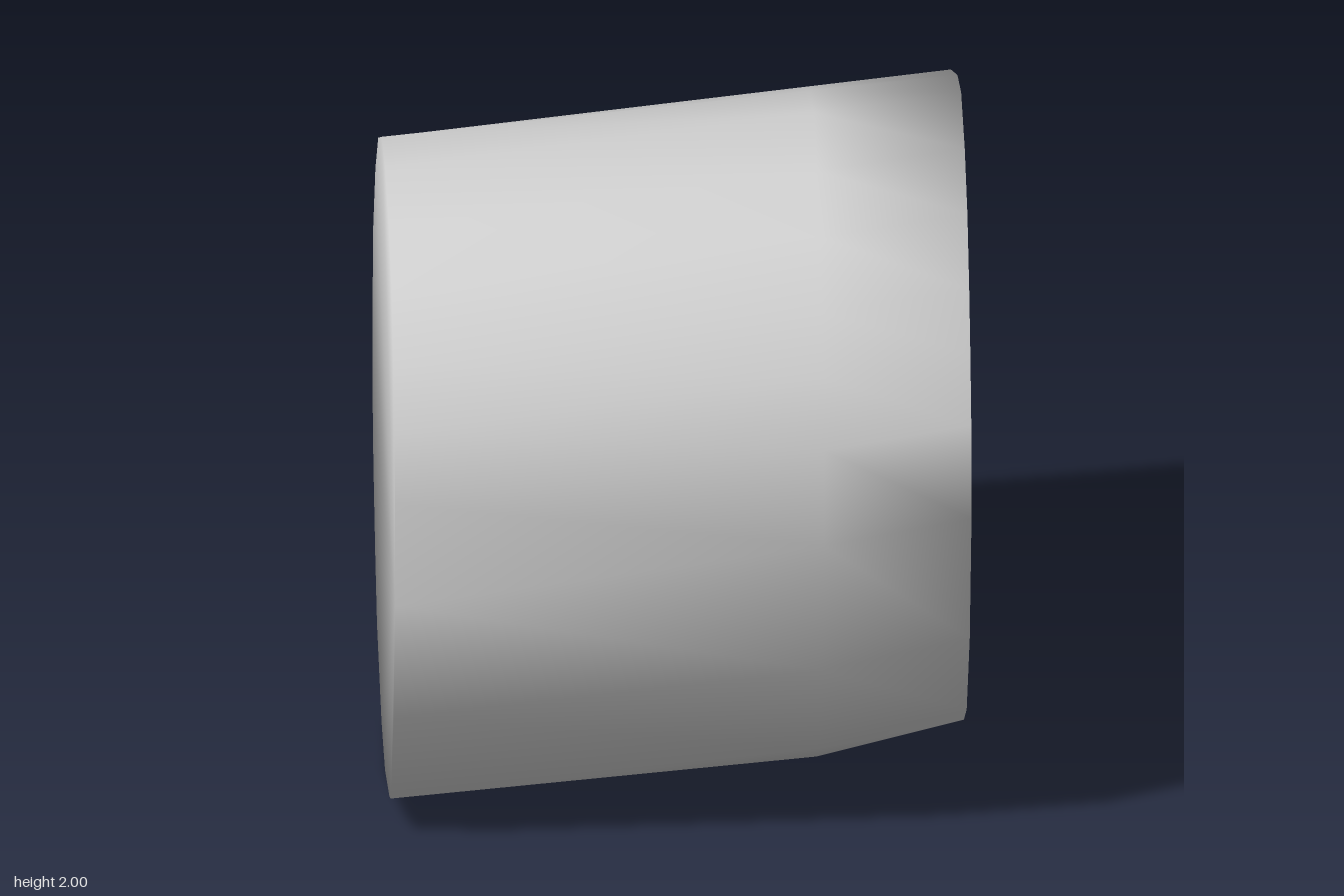
import * as THREE from 'three';

// Rim outlines as [z, y], from the front edge over the top, down the back and under
const leftRim = [
  [0.98, 1.1], [0.965, 1.37], [0.89, 1.55], [0.8, 1.7], [0.66, 1.86], [0.45, 1.96], [0.17, 2],
  [-0.12, 1.92], [-0.64, 1.7], [-0.83, 1.61], [-0.95, 1.37], [-1, 1.09], [-0.87, 0.78], [-0.78, 0.62],
  [-0.64, 0.45], [-0.43, 0.29], [-0.2, 0.2], [0.15, 0.19], [0.38, 0.23], [0.6, 0.36], [0.84, 0.68],
];
const rightRim = [
  [0.945, 0.85], [0.94, 1.15], [0.89, 1.34], [0.8, 1.5], [0.66, 1.66], [0.47, 1.76], [0.17, 1.8],
  [-0.1, 1.77], [-0.38, 1.64], [-0.6, 1.45], [-0.77, 1.2], [-0.83, 0.93], [-0.82, 0.66], [-0.76, 0.5],
  [-0.62, 0.3], [-0.48, 0.15], [-0.12, 0.02], [0.15, 0], [0.5, 0.08], [0.6, 0.12], [0.84, 0.47],
];
const HALF = 0.78;
const BULGE_X = 0.38;

// Section between the rims, swelling slightly at the front and underside
function middleSection() {
  const t = (HALF - BULGE_X) / (2 * HALF);
  return leftRim.map(([z, y], i) => {
    const mz = THREE.MathUtils.lerp(z, rightRim[i][0], t);
    const my = THREE.MathUtils.lerp(y, rightRim[i][1], t);
    return [mz + 0.03 * Math.max(0, mz), my - 0.05 * Math.max(0, (1.05 - my) / 0.95)];
  });
}

// Loft the sections and close both ends with a fan from the front vertex
function slantedDrum() {
  const sections = [[HALF, leftRim], [BULGE_X, middleSection()], [-HALF, rightRim]];
  const n = leftRim.length;
  const positions = [];
  const index = [];
  for (const [x, ring] of sections) {
    for (const [z, y] of ring) positions.push(x, y, z);
  }
  for (let r = 0; r < sections.length - 1; r++) {
    for (let j = 0; j < n; j++) {
      const k = (j + 1) % n;
      const a = r * n + j, b = r * n + k;
      index.push(a, b, b + n, a, b + n, a + n);
    }
  }
  const last = (sections.length - 1) * n;
  for (let j = 1; j < n - 1; j++) {
    index.push(0, j + 1, j);
    index.push(last, last + j, last + j + 1);
  }
  const geometry = new THREE.BufferGeometry();
  geometry.setAttribute('position', new THREE.Float32BufferAttribute(positions, 3));
  geometry.setIndex(index);
  // Normals are shared across the rims, so the ends shade softly into the side
  geometry.computeVertexNormals();
  return geometry;
}

export function createModel() {
  const group = new THREE.Group();
  group.name = 'slantedDrum';
  const body = new THREE.Mesh(slantedDrum(), new THREE.MeshStandardMaterial({ color: 0xcccccc }));
  body.name = 'drumBody';
  group.add(body);
  return group;
}
